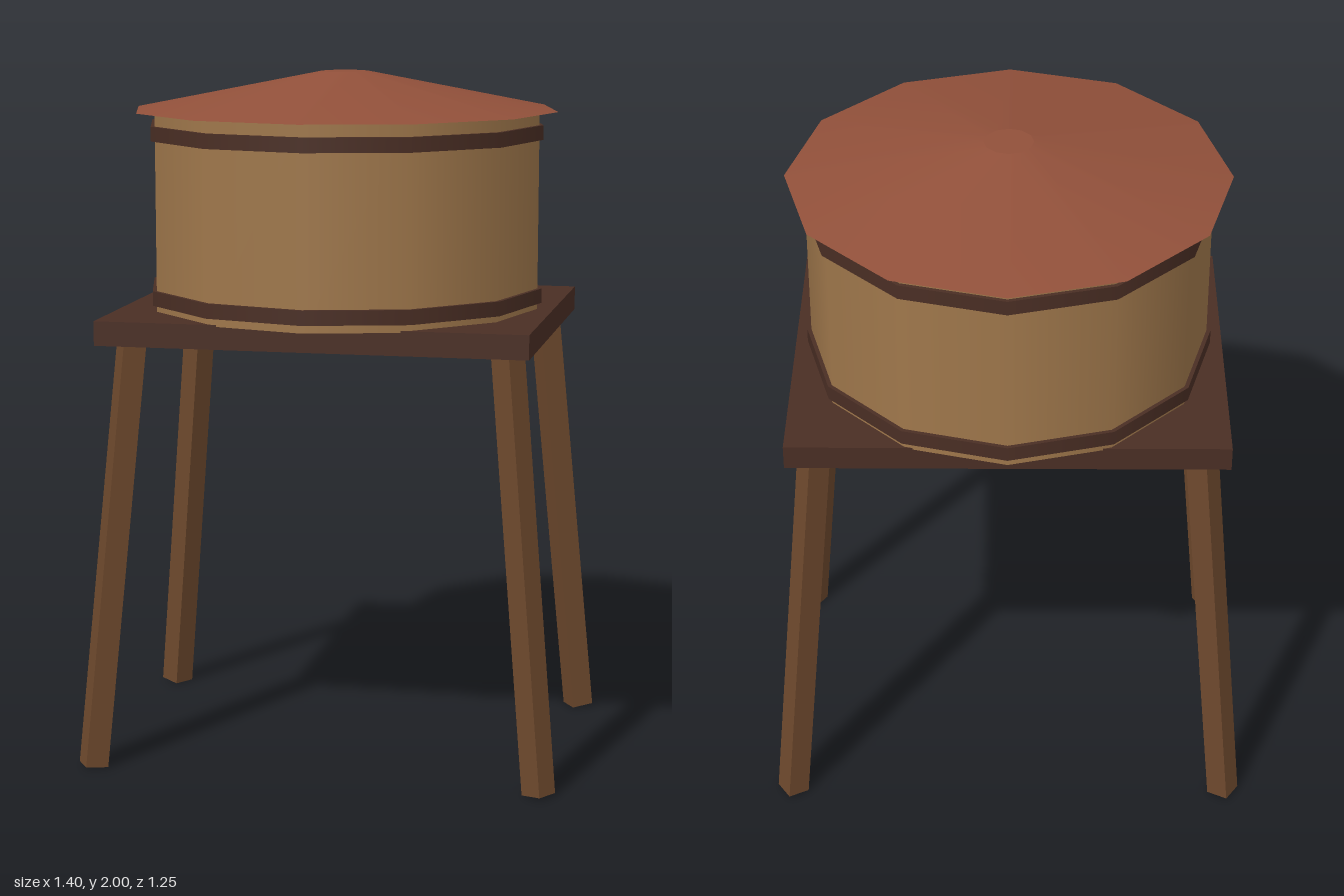
import * as THREE from 'three';

const SIDES = 12;

function material(name, color) {
  const m = new THREE.MeshStandardMaterial({ color });
  m.name = name;
  return m;
}

export function createModel() {
  const group = new THREE.Group();
  group.name = 'waterTower';

  const tankWood = material('tan wood', 0x9f774b);
  const roofRed = material('roof red', 0x91503a);
  const darkWood = material('dark wood', 0x4a2e24);
  const legWood = material('leg wood', 0x6e492d);

  function add(name, geometry, mat, y) {
    const mesh = new THREE.Mesh(geometry, mat);
    mesh.name = name;
    mesh.position.y = y;
    group.add(mesh);
    return mesh;
  }

  // Twelve-sided drum between two heights
  function drum(name, rTop, rBottom, y0, y1, mat) {
    return add(name, new THREE.CylinderGeometry(rTop, rBottom, y1 - y0, SIDES), mat, (y0 + y1) / 2);
  }

  // Tank, hoops and flat-tipped conical roof
  drum('tank', 0.57, 0.57, 1.315, 1.89, tankWood);
  drum('lowerHoop', 0.582, 0.582, 1.338, 1.38, darkWood);
  drum('upperHoop', 0.582, 0.582, 1.81, 1.852, darkWood);
  drum('roof', 0.07, 0.624, 1.89, 2.0, roofRed);

  // Platform
  add('platform', new THREE.BoxGeometry(1.236, 0.07, 1.0), darkWood, 1.285);

  // Splayed legs, each turned to face its own lean
  const legWidth = 0.067;
  for (const sx of [-1, 1]) {
    for (const sz of [-1, 1]) {
      const foot = new THREE.Vector3(sx * 0.654, 0.004, sz * 0.455);
      const top = new THREE.Vector3(sx * 0.541, 1.26, sz * 0.38);
      const leg = add('leg', new THREE.BoxGeometry(legWidth, legWidth, foot.distanceTo(top)), legWood, 0);
      leg.position.copy(foot).add(top).multiplyScalar(0.5);
      leg.lookAt(top);
    }
  }

  return group;
}
